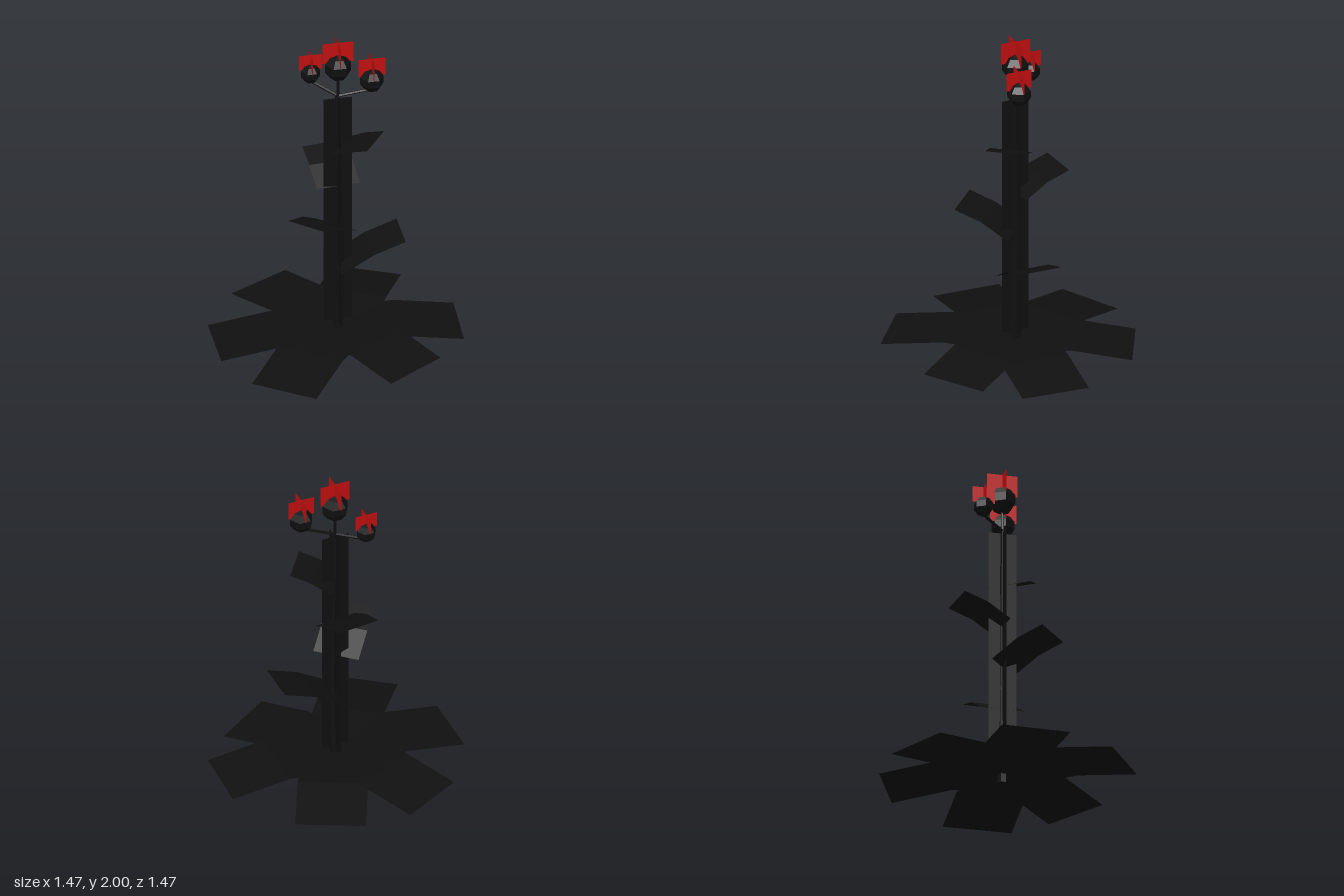
import * as THREE from 'three';

const green = new THREE.MeshStandardMaterial({ color: 0x101010, flatShading: true, side: THREE.DoubleSide });
const red = new THREE.MeshStandardMaterial({ color: 0xc41010, flatShading: true, side: THREE.DoubleSide });

function add(parent, name, geometry, material) {
  const mesh = new THREE.Mesh(geometry, material);
  mesh.name = name;
  parent.add(mesh);
  return mesh;
}

// Two upright cards crossing at right angles
function crossedCards(parent, name, width, y0, y1, x, z, material) {
  const group = new THREE.Group();
  group.name = name;
  for (const turn of [0, Math.PI / 2]) {
    const card = add(group, name + 'Card', new THREE.PlaneGeometry(width, y1 - y0), material);
    card.rotation.y = turn;
  }
  group.position.set(x, (y0 + y1) / 2, z);
  parent.add(group);
}

// Strip of constant width, bent once across; tip is [x, z], heights are base, bend, tip
function leaf(parent, name, tip, width, heights, start = [0, -0.01]) {
  const geometry = new THREE.PlaneGeometry(width, 1, 1, 2);
  const p = geometry.attributes.position;
  const dx = tip[0] - start[0], dz = tip[1] - start[1], len = Math.hypot(dx, dz);
  for (let i = 0; i < p.count; i++) {
    const row = 2 - Math.floor(i / 2), t = row / 2, side = p.getX(i);
    p.setXYZ(i, start[0] + dx * t - (dz / len) * side, heights[row], start[1] + dz * t + (dx / len) * side);
  }
  geometry.computeVertexNormals();
  add(parent, name, geometry, green);
}

function twig(parent, name, a, b, radius) {
  const path = new THREE.LineCurve3(new THREE.Vector3(...a), new THREE.Vector3(...b));
  add(parent, name, new THREE.TubeGeometry(path, 1, radius, 5), green);
}

export function createModel() {
  const model = new THREE.Group();
  model.name = 'floweringPlant';

  // Tapered, gently bowed stem
  const stem = new THREE.CylinderGeometry(0.012, 0.029, 1.645, 6, 8);
  stem.translate(0, 0.8225, 0);
  const p = stem.attributes.position;
  for (let i = 0; i < p.count; i++) {
    const t = p.getY(i) / 1.645;
    p.setX(i, p.getX(i) + 0.005 + 0.028 * Math.sin(Math.PI * t) * (1 - t));
    p.setZ(i, p.getZ(i) - 0.01);
  }
  stem.computeVertexNormals();
  add(model, 'stem', stem, green);

  // Spiny wings along the stem
  crossedCards(model, 'stemWings', 0.17, 0.1, 1.62, 0.005, -0.01, green);

  // Ground rosette
  const rosette = new THREE.Group();
  rosette.name = 'rosette';
  model.add(rosette);
  const tips = [[0.722, 0.033], [0.362, 0.535], [-0.443, 0.61], [-0.735, -0.007], [-0.345, -0.635], [0.307, -0.64]];
  for (const tip of tips) leaf(rosette, 'rosetteLeaf', tip, 0.415, [0.055, 0.08, 0.026], [0, 0]);

  // Leaves climbing the stem
  leaf(model, 'stemLeaf', [0.385, -0.01], 0.27, [0.48, 0.595, 0.665]);
  leaf(model, 'stemLeaf', [-0.218, 0.235], 0.28, [0.75, 0.85, 0.905]);
  leaf(model, 'stemLeaf', [-0.022, -0.296], 0.265, [1.015, 1.1, 1.145], [0.008, -0.01]);
  leaf(model, 'stemLeaf', [0.203, 0.132], 0.25, [1.28, 1.345, 1.385]);

  // Flower heads: position, bulb radius, branch end height, tuft width and heights
  const fork = [0.005, 1.637, -0.01];
  const heads = [
    { x: 0.006, y: 1.833, z: -0.01, r: 0.083, end: 1.77, w: 0.185, y0: 1.865, y1: 2 },
    { x: 0.198, y: 1.757, z: 0.047, r: 0.074, end: 1.695, w: 0.162, y0: 1.785, y1: 1.902 },
    { x: -0.128, y: 1.717, z: -0.162, r: 0.061, end: 1.665, w: 0.137, y0: 1.743, y1: 1.842 },
  ];
  for (const h of heads) {
    const head = new THREE.Group();
    head.name = 'flowerHead';
    model.add(head);
    twig(head, 'branch', fork, [h.x, h.end, h.z], 0.009);
    add(head, 'bulb', new THREE.SphereGeometry(h.r, 6, 5), green).position.set(h.x, h.y, h.z);
    crossedCards(head, 'tuft', h.w, h.y0, h.y1, h.x, h.z, red);
  }
  return model;
}
